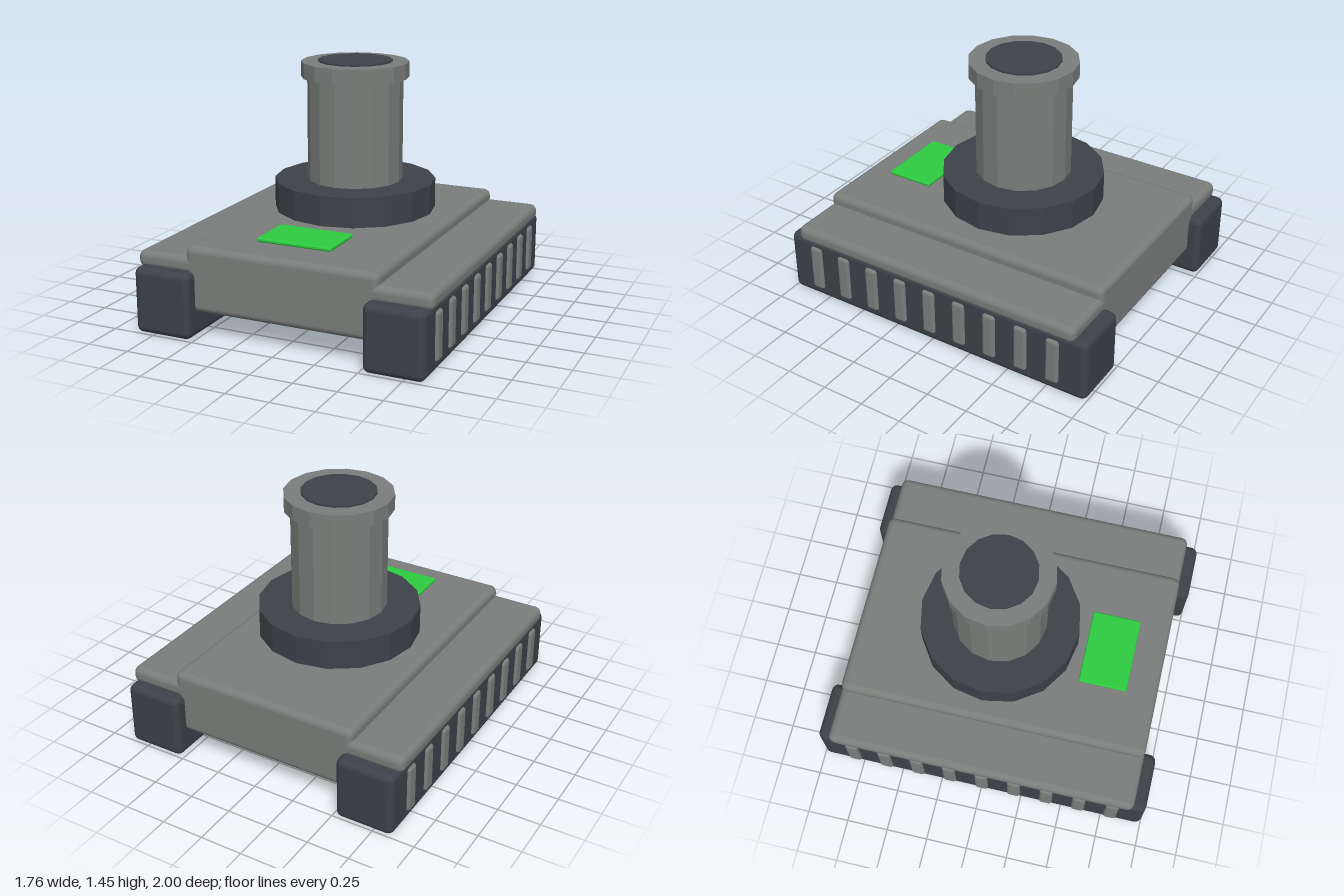
import * as THREE from 'three';
import { RoundedBoxGeometry } from 'three/addons/geometries/RoundedBoxGeometry.js';

export function createModel() {
  const model = new THREE.Group();
  model.name = 'trackedTurret';

  const material = (name, color) => {
    const m = new THREE.MeshStandardMaterial({ color });
    m.name = name;
    return m;
  };
  const grey = material('hull grey', 0x7a7e7b);
  const dark = material('dark slate', 0x3d4149);
  const green = material('signal green', 0x2ecc40);

  // Rounded box given by its lower and upper corners
  function box(name, mat, [x0, y0, z0], [x1, y1, z1], radius, parent = model) {
    const geo = new RoundedBoxGeometry(x1 - x0, y1 - y0, z1 - z0, 3, radius);
    const mesh = new THREE.Mesh(geo, mat);
    mesh.position.set((x0 + x1) / 2, (y0 + y1) / 2, (z0 + z1) / 2);
    mesh.name = name;
    parent.add(mesh);
  }

  // Sixteen-sided faceted drum on the turret axis
  function drum(name, mat, radius, y0, y1) {
    const geo = new THREE.CylinderGeometry(radius, radius, y1 - y0, 16).toNonIndexed();
    geo.computeVertexNormals();
    const mesh = new THREE.Mesh(geo, mat);
    mesh.position.set(0, (y0 + y1) / 2, -0.075);
    mesh.name = name;
    model.add(mesh);
  }

  // Central hull
  box('hull', grey, [-0.575, 0.145, -0.925], [0.575, 0.525, 0.925], 0.04);

  // Tracks, fenders and side ribs, mirrored
  for (const s of [1, -1]) {
    const side = new THREE.Group();
    side.name = s > 0 ? 'leftTrackAssembly' : 'rightTrackAssembly';
    model.add(side);
    const pair = (name, mat, x0, x1, y0, y1, z0, z1, r) =>
      box(name, mat, [s > 0 ? x0 : -x1, y0, z0], [s > 0 ? x1 : -x0, y1, z1], r, side);
    pair('track', dark, 0.515, 0.865, 0, 0.385, -1, 1, 0.04);
    pair('fender', grey, 0.5, 0.882, 0.36, 0.46, -0.925, 0.925, 0.04);
    for (let i = 0; i < 9; i++) {
      const z = 0.805 - i * 0.2;
      pair('trackRib', grey, 0.82, 0.882, 0.062, 0.342, z - 0.04, z + 0.04, 0.018);
    }
  }

  // Deck panel
  box('deckPanel', green, [-0.225, 0.54, 0.45], [0.225, 0.565, 0.74], 0.01);

  // Turret stack
  drum('turretRing', dark, 0.475, 0.565, 0.74);
  drum('turretColumn', grey, 0.28, 0.73, 1.35);
  drum('columnCollar', grey, 0.315, 1.345, 1.435);
  drum('columnBore', dark, 0.217, 1.4, 1.445);

  return model;
}
